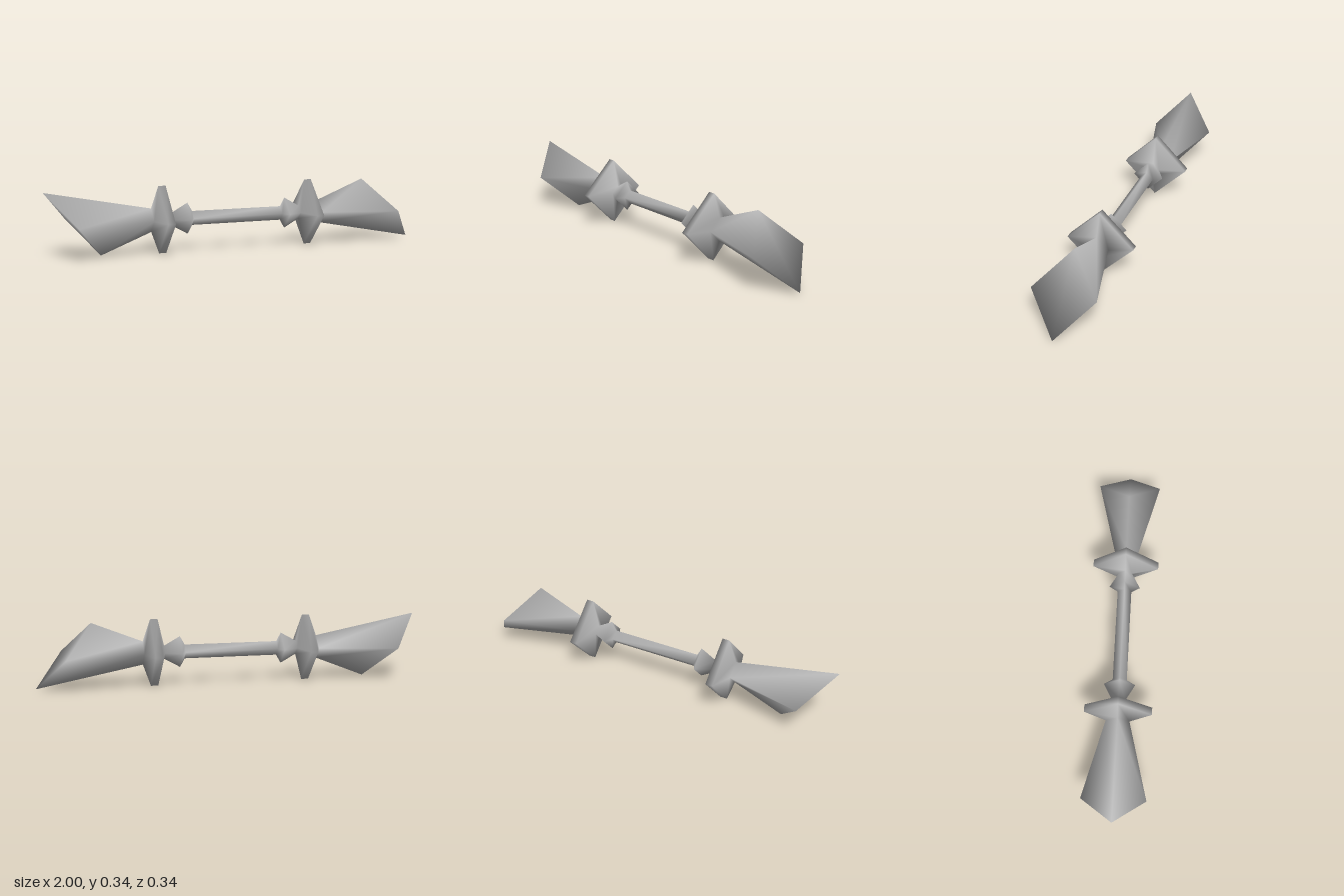
import * as THREE from 'three';

const AXIS_Y = 0.172;

// Half profile from the middle outwards: [x, radius, slant of the section]
const HALF = [
  [0.243, 0.036, 0],  // end of the rod
  [0.268, 0.08, 0],   // widest point of the knob
  [0.35, 0.034, 0],   // neck
  [0.382, 0.172, 0],  // inner rim of the collar
  [0.42, 0.172, 0],   // outer rim of the collar
  [0.46, 0.06, 0],    // root of the blade
  [0.86, 0.163, 0.14] // obliquely cut blade end
];

export function createModel() {
  const group = new THREE.Group();
  const metal = new THREE.MeshStandardMaterial({ color: 0xb4b4b4 });
  metal.name = 'grey metal';

  const stations = [
    ...HALF.map(([x, r, s]) => [-x, r, s]).reverse(),
    ...HALF
  ];
  const last = stations.length - 1;

  // Diamond cross-sections along x
  const points = [];
  for (const [x, r, slant] of stations) {
    for (let k = 0; k < 4; k++) {
      const c = [1, 0, -1, 0][k];
      const s = [0, 1, 0, -1][k];
      points.push(x - slant * c, AXIS_Y + r * c, r * s);
    }
  }

  // Faces between two stations, with caps on the outer ends
  function faces(from, to) {
    const index = [];
    for (let i = from; i < to; i++) {
      for (let k = 0; k < 4; k++) {
        const n = (k + 1) % 4;
        const a = i * 4 + k, b = i * 4 + n;
        index.push(a, b, a + 4, b, b + 4, a + 4);
      }
    }
    if (from === 0) index.push(0, 2, 1, 0, 3, 2);
    if (to === last) {
      const e = last * 4;
      index.push(e, e + 1, e + 2, e, e + 2, e + 3);
    }
    return index;
  }

  // Whole body, used for smooth normals that run on across the parts
  const body = new THREE.BufferGeometry();
  body.setAttribute('position', new THREE.Float32BufferAttribute(points, 3));
  body.setIndex(faces(0, last));
  body.computeVertexNormals();

  function addPart(name, from, to) {
    const geometry = new THREE.BufferGeometry();
    for (const key of ['position', 'normal']) {
      const part = body.getAttribute(key).array.slice(from * 12, (to + 1) * 12);
      geometry.setAttribute(key, new THREE.BufferAttribute(part, 3));
    }
    geometry.setIndex(faces(from, to).map((i) => i - from * 4));
    const mesh = new THREE.Mesh(geometry, metal);
    mesh.name = name;
    group.add(mesh);
  }

  addPart('rod', 6, 7);
  const parts = [['Knob', 0, 2], ['Collar', 2, 5], ['Blade', 5, 6]];
  for (const [name, from, to] of parts) {
    addPart('left' + name, 7 + from, 7 + to);
    addPart('right' + name, 6 - to, 6 - from);
  }
  return group;
}
